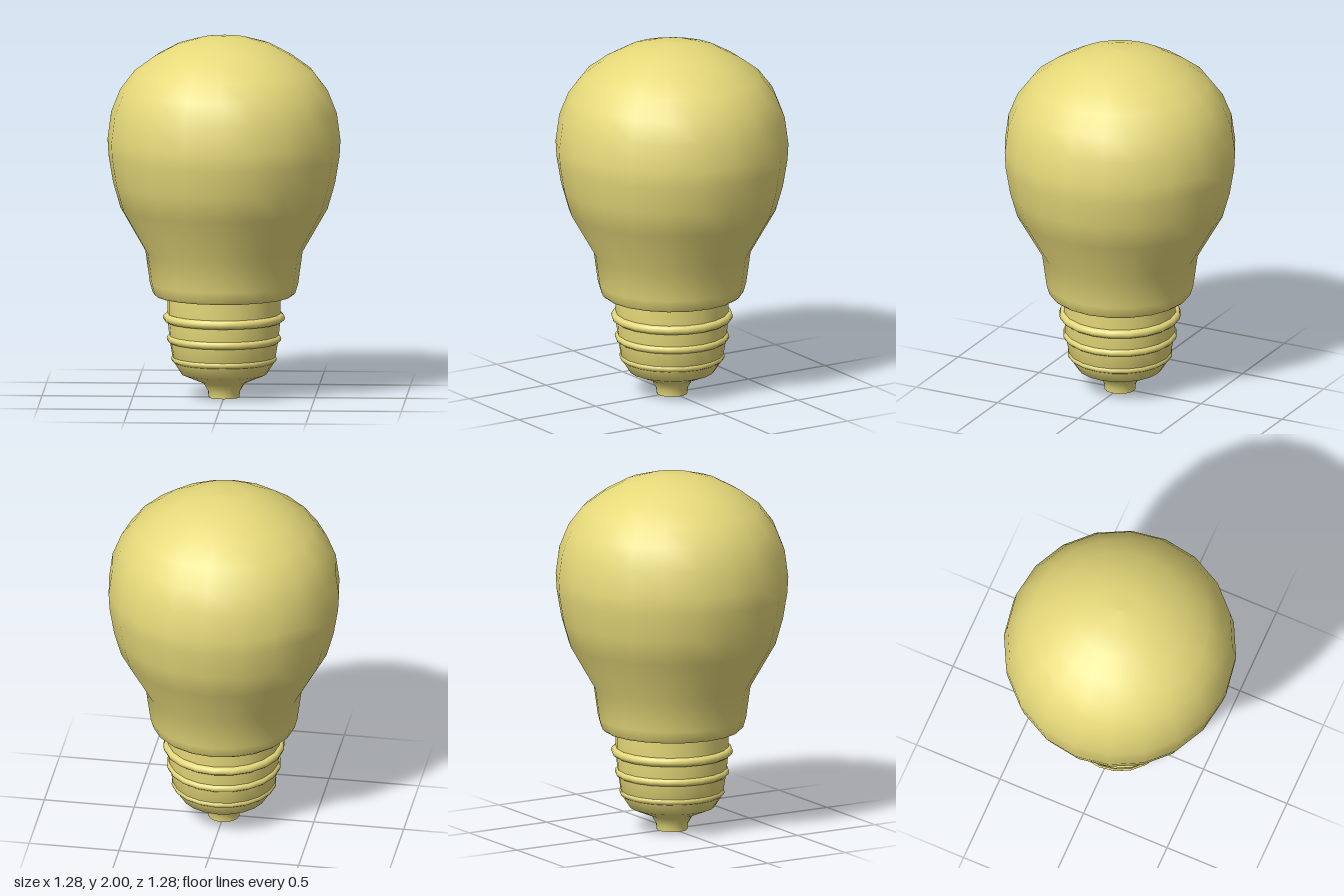
import * as THREE from 'three';
import { toCreasedNormals } from 'three/addons/utils/BufferGeometryUtils.js';

const SIDES = 20;

export function createModel() {
  const model = new THREE.Group();
  const material = new THREE.MeshStandardMaterial({ color: 0xe6d97a });

  const add = (name, geometry, y = 0) => {
    const mesh = new THREE.Mesh(geometry, material);
    mesh.name = name;
    mesh.position.y = y;
    model.add(mesh);
    return mesh;
  };

  // Profiles run from bottom to top as [radius, height]
  const lathe = (profile) =>
    new THREE.LatheGeometry(profile.map(([r, y]) => new THREE.Vector2(r, y)), SIDES);

  // Glass bulb with its rolled lower lip
  add('glassBulb', lathe([
    [0.375, 0.565], [0.392, 0.58], [0.408, 0.635], [0.432, 0.81],
    [0.57, 1.05], [0.61, 1.19], [0.635, 1.34], [0.64, 1.43],
    [0.62, 1.58], [0.57, 1.705], [0.49, 1.81], [0.38, 1.89],
    [0.26, 1.955], [0.135, 1.99], [0, 2],
  ]));

  // Flat underside of the bulb around the socket
  add('bulbUnderside', lathe([[0, 0.565], [0.375, 0.565]]));

  // Screw base tapering to the contact tip
  add('screwBase', toCreasedNormals(lathe([
    [0, 0], [0.085, 0], [0.088, 0.035], [0.115, 0.08], [0.235, 0.13],
    [0.28, 0.2], [0.3, 0.33], [0.31, 0.43], [0.31, 0.57],
  ]), 0.9));

  // Screw threads, shrinking towards the tip: [height, outer radius, tube radius]
  const threads = [[0.443, 0.335, 0.025], [0.326, 0.315, 0.022], [0.213, 0.29, 0.019]];
  for (const [y, outer, tube] of threads) {
    const ring = new THREE.TorusGeometry(outer - tube, tube, 10, SIDES);
    add('screwThread', ring.rotateX(Math.PI / 2), y);
  }

  return model;
}
